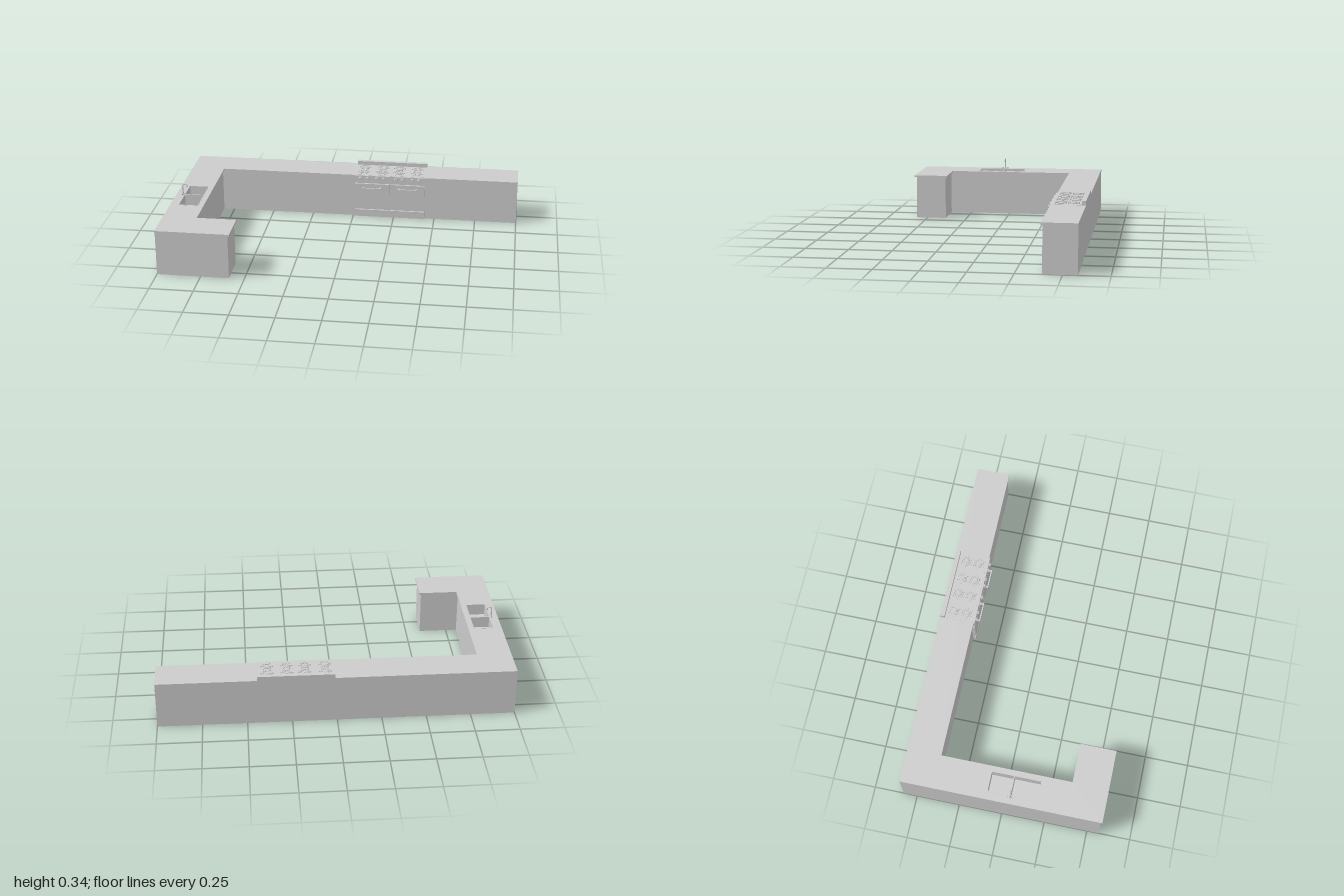
import * as THREE from 'three';

const mat = new THREE.MeshStandardMaterial({ color: 0xcccccc });

function add(parent, name, geometry, x = 0, y = 0, z = 0) {
  const mesh = new THREE.Mesh(geometry, mat);
  mesh.name = name;
  mesh.position.set(x, y, z);
  parent.add(mesh);
  return mesh;
}

// Box given by its limits on each axis
function block(parent, name, [x0, x1], [y0, y1], [z0, z1]) {
  return add(parent, name, new THREE.BoxGeometry(x1 - x0, y1 - y0, z1 - z0),
    (x0 + x1) / 2, (y0 + y1) / 2, (z0 + z1) / 2);
}

// Floor plan of [x, z] corners raised from y0 to y1
const toPoints = (plan) => plan.map(([x, z]) => new THREE.Vector2(x, -z));
function raise(parent, name, plan, y0, y1, holes = []) {
  const shape = new THREE.Shape(toPoints(plan));
  holes.forEach((h) => shape.holes.push(new THREE.Path(toPoints(h))));
  const geometry = new THREE.ExtrudeGeometry(shape, { depth: y1 - y0, bevelEnabled: false });
  geometry.rotateX(-Math.PI / 2);
  return add(parent, name, geometry, 0, y0, 0);
}

const rect = (x0, x1, z0, z1) => [[x0, z0], [x0, z1], [x1, z1], [x1, z0]];

// Counter outline; the overhang o applies to the room-facing edges
const outline = (o) => [
  [-1, -0.58], [1, -0.58], [1, -0.395 + o], [-0.815 + o, -0.395 + o],
  [-0.815 + o, 0.382 - o], [-0.587 + o, 0.382 - o], [-0.587 + o, 0.568 + o], [-1, 0.568 + o],
];

function tube(parent, name, points, radius, segments = 24) {
  const curve = new THREE.CatmullRomCurve3(points.map((p) => new THREE.Vector3(...p)));
  return add(parent, name, new THREE.TubeGeometry(curve, segments, radius, 10));
}

const TOP = 0.272;

function createCounter() {
  const g = new THREE.Group();
  g.name = 'counter';
  const cutout = rect(-0.955, -0.832, -0.09, 0.205);
  raise(g, 'lowerCabinets', outline(0), 0, 0.2);
  raise(g, 'upperCabinets', outline(0), 0.2, 0.26, [cutout]);
  raise(g, 'worktop', outline(0.011), 0.26, TOP, [cutout]);
  return g;
}

function createSink() {
  const g = new THREE.Group();
  g.name = 'sink';
  const basins = [rect(-0.949, -0.838, -0.084, 0.042), rect(-0.949, -0.838, 0.048, 0.199)];
  raise(g, 'basinWalls', rect(-0.955, -0.832, -0.09, 0.205), 0.2, TOP + 0.001, basins);
  block(g, 'basinFloor', [-0.952, -0.835], [0.2, 0.206], [-0.087, 0.202]);
  for (const z of [-0.021, 0.123]) {
    add(g, 'drain', new THREE.CylinderGeometry(0.008, 0.008, 0.002, 20), -0.893, 0.207, z);
  }

  // Swan-neck faucet with two cross-handled taps
  const x = -0.961, z = 0.047;
  add(g, 'faucetBase', new THREE.CylinderGeometry(0.005, 0.008, 0.008, 16), x, TOP + 0.004, z);
  tube(g, 'faucetNeck', [[x, TOP, z], [x, 0.3, z], [x, 0.328, z], [x + 0.006, 0.336, z],
    [x + 0.019, 0.336, z], [x + 0.025, 0.33, z], [x + 0.025, 0.32, z]], 0.0035, 36);
  for (const side of [-1, 1]) {
    const tz = z + side * 0.016;
    add(g, 'tapStem', new THREE.CylinderGeometry(0.002, 0.003, 0.009, 12), x, TOP + 0.0045, tz);
    add(g, 'tapHandle', new THREE.BoxGeometry(0.01, 0.0025, 0.0025), x, TOP + 0.009, tz);
    add(g, 'tapHandle', new THREE.BoxGeometry(0.0025, 0.0025, 0.01), x, TOP + 0.009, tz);
  }
  return g;
}

function createBurner(x, z) {
  const g = new THREE.Group();
  g.name = 'burner';
  g.position.set(x, TOP, z);
  add(g, 'burnerBase', new THREE.CylinderGeometry(0.018, 0.021, 0.004, 24), 0, 0.002, 0);
  add(g, 'burnerCap', new THREE.CylinderGeometry(0.011, 0.012, 0.003, 24), 0, 0.005, 0);
  const ring = add(g, 'grateRing', new THREE.TorusGeometry(0.025, 0.0024, 8, 28), 0, 0.0055, 0);
  ring.rotation.x = Math.PI / 2;
  // Grate fingers with their feet
  for (let i = 0; i < 6; i++) {
    const arm = new THREE.Group();
    arm.name = 'grateArm';
    arm.rotation.y = (i * Math.PI) / 3;
    block(arm, 'grateFinger', [0.014, 0.036], [0.0045, 0.008], [-0.0025, 0.0025]);
    block(arm, 'grateFoot', [0.032, 0.036], [0, 0.005], [-0.0025, 0.0025]);
    g.add(arm);
  }
  return g;
}

function createRange() {
  const g = new THREE.Group();
  g.name = 'range';
  const left = 0.01, right = 0.44, mid = 0.225;
  block(g, 'ovenBody', [left, right], [0, TOP + 0.001], [-0.57, -0.389]);
  block(g, 'backguard', [left, right], [TOP - 0.01, 0.296], [-0.58, -0.556]);
  block(g, 'controlPanel', [left, right], [0.226, TOP], [-0.39, -0.378]);

  // Two oven doors with bowed handles, each over a drawer
  for (const [x0, x1] of [[left, mid - 0.003], [mid + 0.003, right]]) {
    block(g, 'ovenDoor', [x0, x1], [0.057, 0.219], [-0.39, -0.378]);
    block(g, 'drawer', [x0, x1], [0.003, 0.047], [-0.39, -0.378]);
    const c = (x0 + x1) / 2;
    block(g, 'doorHandle', [c - 0.058, c + 0.058], [0.187, 0.198], [-0.365, -0.358]);
    for (const s of [-1, 1]) {
      block(g, 'handlePost', [c + s * 0.053 - 0.005, c + s * 0.053 + 0.005], [0.187, 0.198], [-0.38, -0.364]);
    }
  }

  // Control knobs
  for (const x of [0.045, 0.088, 0.146, 0.188, 0.262, 0.303, 0.363, 0.402]) {
    const knob = add(g, 'knob', new THREE.CylinderGeometry(0.010, 0.012, 0.009, 20), x, 0.253, -0.3735);
    knob.rotation.x = Math.PI / 2;
    block(g, 'knobGrip', [x - 0.002, x + 0.002], [0.244, 0.262], [-0.37, -0.367]);
  }

  for (const x of [0.062, 0.174, 0.275, 0.385]) {
    for (const z of [-0.51, -0.436]) g.add(createBurner(x, z));
  }
  return g;
}

export function createModel() {
  const model = new THREE.Group();
  model.name = 'kitchenCounter';
  model.add(createCounter(), createSink(), createRange());
  return model;
}
